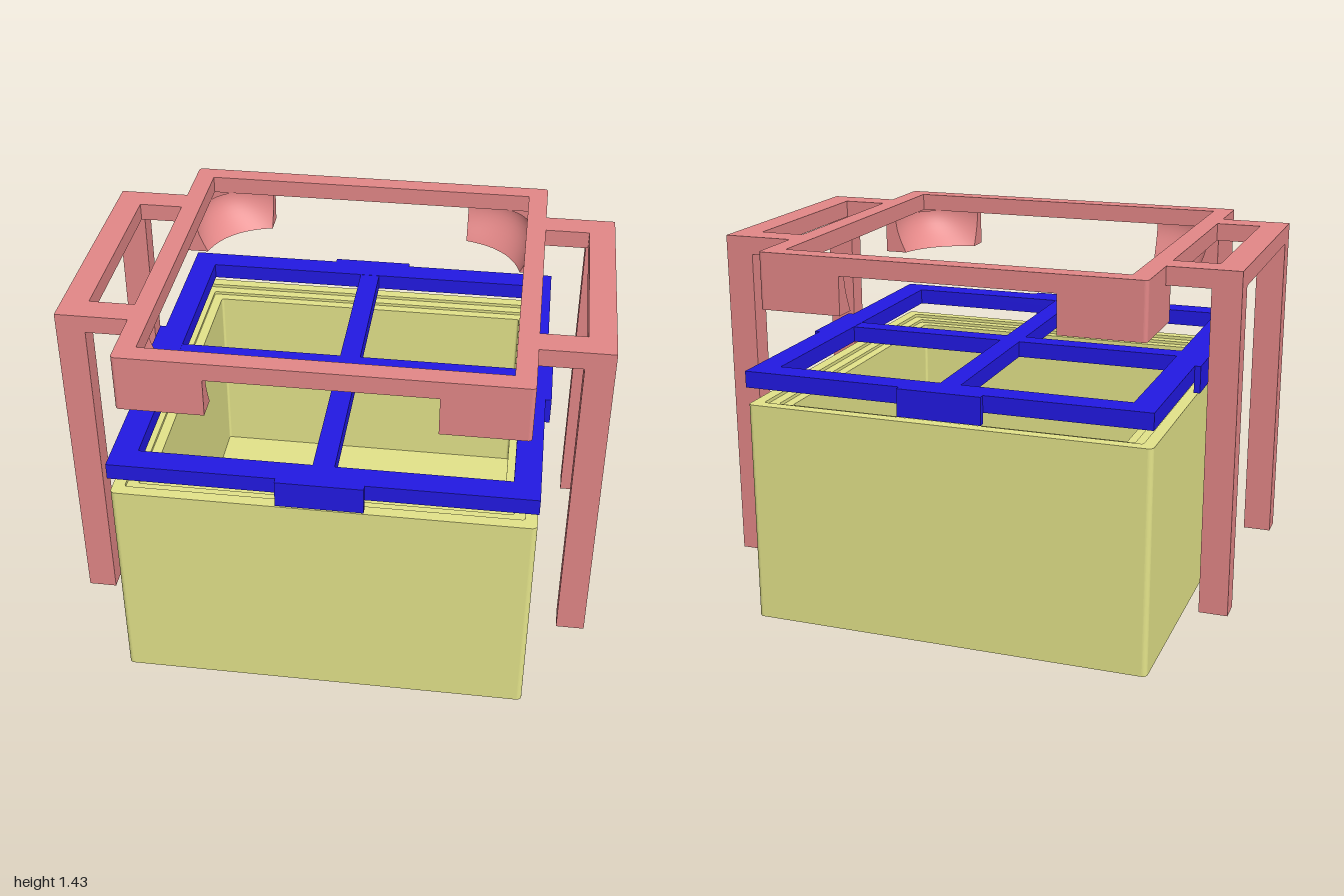
import * as THREE from 'three';
import { ParametricGeometry } from 'three/addons/geometries/ParametricGeometry.js';

const mat = (name, color) => {
  const m = new THREE.MeshStandardMaterial({ color });
  m.name = name;
  return m;
};

// Square outline of half width h with corner radius r
const square = (h, r, Type = THREE.Shape) => {
  const s = new Type();
  if (r === 0) {
    s.moveTo(-h, -h).lineTo(h, -h).lineTo(h, h).lineTo(-h, h).closePath();
    return s;
  }
  const c = h - r;
  s.absarc(c, c, r, 0, Math.PI / 2);
  s.absarc(-c, c, r, Math.PI / 2, Math.PI);
  s.absarc(-c, -c, r, Math.PI, Math.PI * 1.5);
  s.absarc(c, -c, r, Math.PI * 1.5, Math.PI * 2);
  s.closePath();
  return s;
};
const ring = (outer, r, inner, ri) => {
  const s = square(outer, r);
  s.holes.push(square(inner, ri, THREE.Path));
  return s;
};
// Plan shape raised from y0 to y1
const slab = (shape, y0, y1) => {
  const g = new THREE.ExtrudeGeometry(shape, { depth: y1 - y0, bevelEnabled: false, curveSegments: 6 });
  g.rotateX(-Math.PI / 2);
  g.translate(0, y0, 0);
  return g;
};

const END = 0.41;                 // where the corner blocks stop along each side
const LOW = 1.215, HIGH = 1.362;  // corner block underside, ring underside
const WALL = 0.69;                // inside of the corner block's outer wall

// Bowl surface of a corner block: a rounded corner that widens with height t
const bowl = (u, t) => {
  const e = Math.sin(t * Math.PI / 2);
  const h = 0.64 + 0.045 * e, k = 0.597 + 0.108 * e, w = 1 - u;
  const x = END * w * w + 2 * k * u * w + h * u * u;
  const z = h * w * w + 2 * k * u * w + END * u * u;
  return new THREE.Vector3(x, LOW + (HIGH - LOW) * t, -z);
};
// Matching point on the outer wall
const wallPoint = (u, t) => new THREE.Vector3(
  Math.min(WALL, END + (WALL - END) * 2 * u),
  LOW + (HIGH - LOW) * t,
  -Math.min(WALL, END + (WALL - END) * 2 * (1 - u)));

const surface = (fn, nu, nv) =>
  new ParametricGeometry((u, v, target) => target.copy(fn(u, v)), nu, nv);

export function createModel() {
  const olive = mat('olive', 0xe4e48a);
  const pink = mat('dusty pink', 0xe48888);
  const blue = mat('deep blue', 0x2219e4);
  const model = new THREE.Group();
  model.name = 'boxWithFrames';

  const group = (name, parent = model) => {
    const g = new THREE.Group();
    g.name = name;
    parent.add(g);
    return g;
  };
  const add = (parent, name, geometry, material) => {
    const m = new THREE.Mesh(geometry, material);
    m.name = name;
    parent.add(m);
    return m;
  };
  // Box given by its limits on each axis
  const block = (parent, name, material, [x0, x1], [y0, y1], [z0, z1]) => {
    const g = new THREE.BoxGeometry(x1 - x0, y1 - y0, z1 - z0);
    g.translate((x0 + x1) / 2, (y0 + y1) / 2, (z0 + z1) / 2);
    return add(parent, name, g, material);
  };

  // Hollow box: base, recessed floor, walls and a stepped rim
  const box = group('box');
  add(box, 'base', slab(square(0.775, 0.02), 0, 0.04), olive);
  add(box, 'recessedFloor', slab(ring(0.775, 0.02, 0.405, 0.05), 0.04, 0.08), olive);
  add(box, 'walls', slab(ring(0.775, 0.02, 0.652, 0.01), 0.08, 0.835), olive);
  add(box, 'lowerRimStep', slab(ring(0.775, 0.02, 0.69, 0.01), 0.835, 0.847), olive);
  add(box, 'upperRimStep', slab(ring(0.775, 0.02, 0.73, 0.01), 0.847, 0.86), olive);

  // Cross frame with a tab on each side
  const cross = group('crossFrame');
  add(cross, 'outerFrame', slab(ring(0.777, 0, 0.68, 0), 0.927, 0.99), blue);
  block(cross, 'crossBarX', blue, [-0.69, 0.69], [0.927, 0.989], [-0.04, 0.04]);
  block(cross, 'crossBarZ', blue, [-0.04, 0.04], [0.927, 0.989], [-0.69, 0.69]);
  for (let i = 0; i < 4; i++) {
    const tab = block(cross, 'sideTab', blue, [-0.16, 0.16], [0.885, 0.99], [0.776, 0.8]);
    tab.rotation.y = i * Math.PI / 2;
  }

  // Upper stand
  const stand = group('upperStand');
  stand.position.z = 0.01;
  add(stand, 'topRing', slab(ring(0.73, 0.015, 0.655, 0), HIGH, 1.43), pink);

  // Corner blocks: an L wall lined with a hollowed bowl surface
  const L = new THREE.Shape();
  L.moveTo(END, WALL).lineTo(WALL, WALL).lineTo(WALL, END).lineTo(0.73, END);
  L.lineTo(0.73, 0.715).absarc(0.715, 0.715, 0.015, 0, Math.PI / 2);
  L.lineTo(END, 0.73).closePath();
  const parts = {
    cornerWall: slab(L, LOW, HIGH),
    cornerBowl: surface(bowl, 24, 8),
    cornerUnderside: surface((u, v) => wallPoint(u, 0).lerp(bowl(u, 0), v), 24, 1),
    cornerEndA: surface((u, v) => wallPoint(0, v).lerp(bowl(0, v), u), 1, 8),
    cornerEndB: surface((u, v) => bowl(1, v).lerp(wallPoint(1, v), u), 1, 8),
  };
  for (let i = 0; i < 4; i++) {
    const corner = group('cornerBlock', stand);
    corner.rotation.y = i * Math.PI / 2;
    for (const [name, geometry] of Object.entries(parts)) add(corner, name, geometry, pink);
  }

  // Side rails, arms and legs
  const span = (s, a, b) => (s > 0 ? [a, b] : [-b, -a]);
  for (const s of [-1, 1]) {
    block(stand, 'sideRail', pink, span(s, 0.9, 1), [HIGH, 1.43], [-0.484, 0.484]);
    for (const t of [-1, 1]) {
      block(stand, 'arm', pink, span(s, 0.725, 0.95), [HIGH, 1.43], span(t, 0.379, 0.484));
      block(stand, 'leg', pink, span(s, 0.892, 1), [0.14, 1.43], span(t, 0.398, 0.484));
    }
  }
  return model;
}
